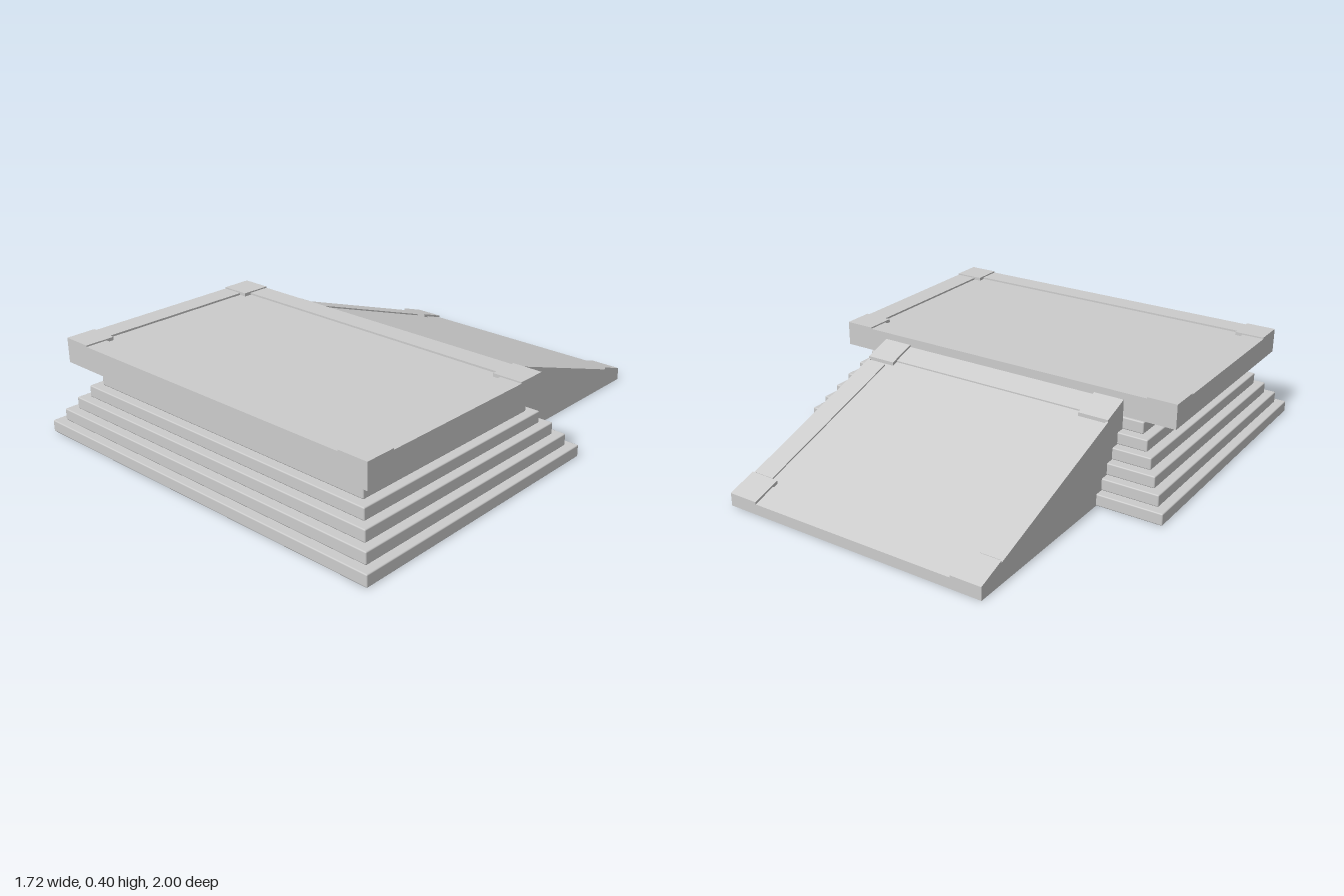
import * as THREE from 'three';
import { RoundedBoxGeometry } from 'three/addons/geometries/RoundedBoxGeometry.js';

const stone = new THREE.MeshStandardMaterial({ color: 0xcccccc });
stone.name = 'pale grey stone';

function addMesh(group, name, geometry) {
  const mesh = new THREE.Mesh(geometry, stone);
  mesh.name = name;
  group.add(mesh);
}

// Box given by its extents on each axis
function addBox(group, name, x0, x1, y0, y1, z0, z1) {
  const geometry = new THREE.BoxGeometry(x1 - x0, y1 - y0, z1 - z0);
  geometry.translate((x0 + x1) / 2, (y0 + y1) / 2, (z0 + z1) / 2);
  addMesh(group, name, geometry);
}

// Prism from a [z, y] side profile, spanning x0 to x1
function addPrism(group, name, profile, x0, x1) {
  const shape = new THREE.Shape(profile.map(([z, y]) => new THREE.Vector2(z, y)));
  const geometry = new THREE.ExtrudeGeometry(shape, { depth: x1 - x0, bevelEnabled: false });
  geometry.rotateY(-Math.PI / 2).translate(x1, 0, 0);
  addMesh(group, name, geometry);
}

// Six stacked slabs, each stepped in on all sides
function createPlinth() {
  const group = new THREE.Group();
  group.name = 'steppedPlinth';
  const step = 0.05;
  for (let i = 0; i < 6; i++) {
    const inset = 0.038 * i;
    const geometry = new RoundedBoxGeometry(1.72 - 2 * inset, step, 1.23 - 2 * inset, 1, 0.005);
    geometry.translate(0, step * (i + 0.5), 0.385);
    addMesh(group, 'plinthStep', geometry);
  }
  return group;
}

// Hollow platform: thin skirt, recessed panel, border strips and raised corners
function createPlatform() {
  const group = new THREE.Group();
  group.name = 'platform';
  const w = 0.8, back = -0.03, front = 0.93, low = 0.3, top = 0.398;
  const wall = 0.01, strip = 0.095, corner = 0.128;
  addBox(group, 'platformPanel', -w + wall, w - wall, 0.375, 0.39, back + wall, front - wall);
  addBox(group, 'frontSkirt', -w, w, low, top, front - wall, front);
  addBox(group, 'backSkirt', -w, w, low, top, back, back + wall);
  addBox(group, 'frontBorder', -w + corner, w - corner, 0.38, top, front - strip, front - wall);
  addBox(group, 'backBorder', -w + corner, w - corner, 0.38, top, back + wall, back + strip);
  for (const s of [-1, 1]) {
    const side = (name, a, b, y0, y1, z0, z1) =>
      addBox(group, name, Math.min(s * a, s * b), Math.max(s * a, s * b), y0, y1, z0, z1);
    side('sideSkirt', w - wall, w, low, top, back + wall, front - wall);
    side('sideBorder', w - strip, w - wall, 0.38, top, back + corner, front - corner);
    side('cornerPlate', w - corner, w, 0.38, 0.404, back, back + corner);
    side('cornerPlate', w - corner, w, 0.38, 0.404, front - corner, front);
  }
  return group;
}

// Hollow ramp with triangular side walls, a low end wall and a framed slope
function createRamp() {
  const group = new THREE.Group();
  group.name = 'ramp';
  const w = 0.58, far = -1, near = -0.04, wall = 0.01, strip = 0.095, corner = 0.13;
  const slopeY = z => 0.045 + (z - far) / 3;
  const plate = (name, z0, z1, x0, x1, lift, drop) => addPrism(group, name, [
    [z0, slopeY(z0) - drop], [z1, slopeY(z1) - drop],
    [z1, slopeY(z1) + lift], [z0, slopeY(z0) + lift],
  ], x0, x1);

  plate('rampPanel', far + wall, near, -w + wall, w - wall, -0.006, 0.018);
  plate('lowerBorder', far + wall, far + strip, -w + corner, w - corner, 0, 0.012);
  plate('upperBorder', near - strip, near, -w + corner, w - corner, 0, 0.012);
  addPrism(group, 'endWall', [
    [far, 0], [far + wall, 0], [far + wall, slopeY(far + wall)], [far, slopeY(far)],
  ], -w, w);

  for (const s of [-1, 1]) {
    const span = (a, b) => [Math.min(s * a, s * b), Math.max(s * a, s * b)];
    addPrism(group, 'rampSideWall',
      [[far, 0], [near, 0], [near, slopeY(near)], [far, slopeY(far)]], ...span(w - wall, w));
    plate('sideBorder', far + corner, near - corner, ...span(w - strip, w - wall), 0, 0.012);
    plate('cornerPlate', far, far + 0.12, ...span(w - corner, w), 0.009, 0.012);
    plate('cornerPlate', near - 0.12, near, ...span(w - corner, w), 0.009, 0.012);
  }
  return group;
}

export function createModel() {
  const model = new THREE.Group();
  model.name = 'steppedPlatformWithRamp';
  model.add(createPlinth(), createPlatform(), createRamp());
  return model;
}
